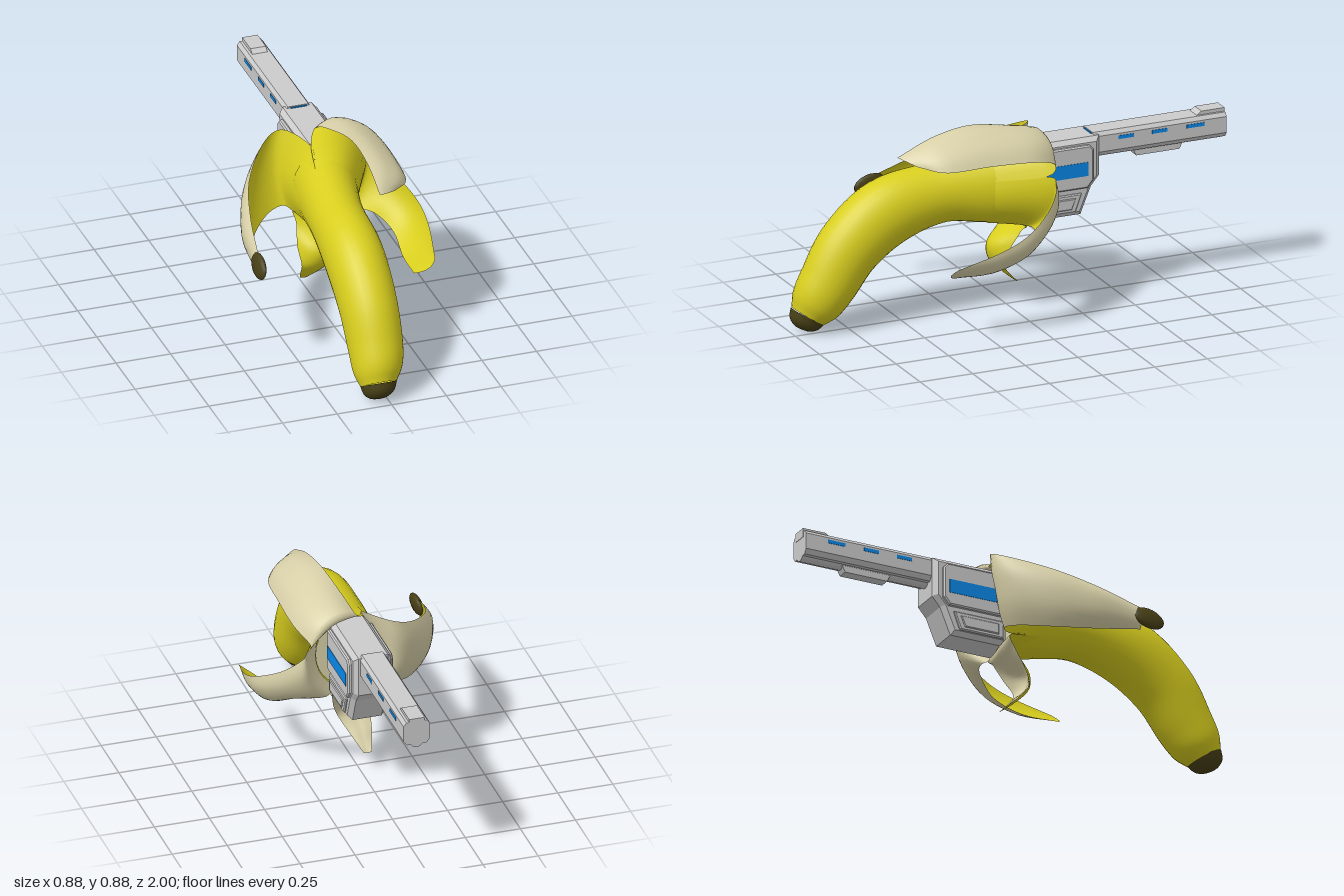
import * as THREE from 'three';

const V = (p) => new THREE.Vector3(...p);
const mat = (color, side = THREE.FrontSide) => new THREE.MeshStandardMaterial({ color, side });
const grey = mat(0xcccccc);
const blue = mat(0x0a88e8);
const yellow = mat(0xd8ce1e);
const skin = mat(0xd8ce1e, THREE.DoubleSide);
const cream = mat(0xd8d0a8);
const dark = mat(0x484016);

function add(parent, name, geometry, material) {
  const mesh = new THREE.Mesh(geometry, material);
  mesh.name = name;
  parent.add(mesh);
  return mesh;
}

// Triangulated grid of rows; point(u, v) gives each vertex
function surface(nu, nv, point, flip = false) {
  const pos = [], index = [];
  for (let j = 0; j <= nv; j++) {
    for (let i = 0; i <= nu; i++) pos.push(...point(i / nu, j / nv).toArray());
  }
  for (let j = 0; j < nv; j++) {
    for (let i = 0; i < nu; i++) {
      const a = j * (nu + 1) + i, b = a + 1, c = a + nu + 1, d = c + 1;
      if (flip) index.push(a, c, b, b, c, d);
      else index.push(a, b, c, b, d, c);
    }
  }
  const g = new THREE.BufferGeometry();
  g.setAttribute('position', new THREE.Float32BufferAttribute(pos, 3));
  g.setIndex(index);
  g.computeVertexNormals();
  return g;
}

// Elliptical sections [x, y, z, rx, ry] swept along a curve in the y-z plane
function sweep(sections, nv) {
  const path = new THREE.CatmullRomCurve3(sections.map((s) => V(s.slice(0, 3))));
  const radii = new THREE.CatmullRomCurve3(sections.map((s) => V([s[3], s[4], 0])));
  path.curveType = radii.curveType = 'catmullrom';
  const g = surface(28, nv, (u, v) => {
    const t = path.getTangent(v), r = radii.getPoint(v), a = u * Math.PI * 2;
    const up = new THREE.Vector3(0, t.z, -t.y).normalize();
    return path.getPoint(v).add(V([Math.cos(a) * r.x, 0, 0])).addScaledVector(up, Math.sin(a) * r.y);
  });
  // Equal normals along the closing seam
  const n = g.attributes.normal;
  for (let j = 0; j <= nv; j++) {
    const a = j * 29, b = a + 28;
    const m = new THREE.Vector3().fromBufferAttribute(n, a)
      .add(new THREE.Vector3().fromBufferAttribute(n, b)).normalize();
    n.setXYZ(a, m.x, m.y, m.z);
    n.setXYZ(b, m.x, m.y, m.z);
  }
  return g;
}

// Point on the body skin below a point of the open rim
function rootOf([x, y]) {
  const a = Math.atan2((y - 0.582) / 0.182, (x - 0.065) / 0.17);
  return [0.018 + 0.134 * Math.cos(a), 0.57 + 0.163 * Math.sin(a), 0.12];
}

// Peel strip: each row is [edge, middle, edge]; yellow outside, cream inside
function peel(parent, name, rows) {
  const group = new THREE.Group();
  group.name = name;
  parent.add(group);
  const all = [rows[0].map(rootOf), ...rows];
  const cols = [0, 1, 2].map((k) => new THREE.CatmullRomCurve3(all.map((r) => V(r[k]))));
  for (const c of cols) c.curveType = 'catmullrom';
  const nu = 10, nv = 30;
  const point = (u, v) => {
    const [l, m, r] = cols.map((c) => c.getPoint(v));
    const ctrl = m.clone().multiplyScalar(2).addScaledVector(l, -0.5).addScaledVector(r, -0.5);
    return new THREE.QuadraticBezierCurve3(l, ctrl, r).getPoint(u);
  };
  const outer = surface(nu, nv, point);
  const n = outer.attributes.normal;
  const inner = surface(nu, nv, (u, v) => {
    const k = Math.round(v * nv) * (nu + 1) + Math.round(u * nu);
    const t = 0.014 * Math.min(1, 5 * u * (1 - u)) * Math.min(1, 6 * (1 - v));
    return point(u, v).addScaledVector(new THREE.Vector3().fromBufferAttribute(n, k), -t);
  }, true);
  add(group, name + 'Skin', outer, yellow);
  add(group, name + 'Lining', inner, cream);
}

// Side profile of [z, y] points extruded from x0 to x1
function plate(parent, name, pts, x0, x1, bevel, material) {
  const shape = new THREE.Shape(pts.map(([z, y]) => new THREE.Vector2(-z, y)));
  const g = new THREE.ExtrudeGeometry(shape, {
    depth: x1 - x0 - 2 * bevel, bevelEnabled: bevel > 0, bevelSize: bevel,
    bevelThickness: bevel, bevelOffset: -bevel, bevelSegments: 1,
  });
  g.rotateY(Math.PI / 2).translate(x0 + bevel, 0, 0);
  return add(parent, name, g, material);
}

function buildFruit() {
  const fruit = new THREE.Group();
  fruit.name = 'banana';
  add(fruit, 'bananaBody', sweep([
    [0.042, 0.577, 0, 0.148, 0.17], [0.02, 0.57, 0.11, 0.136, 0.165],
    [-0.01, 0.56, 0.32, 0.122, 0.137], [-0.018, 0.505, 0.555, 0.13, 0.155],
    [-0.018, 0.375, 0.73, 0.127, 0.147], [-0.018, 0.22, 0.835, 0.12, 0.132],
    [-0.025, 0.13, 0.89, 0.108, 0.115], [-0.034, 0.075, 0.925, 0.08, 0.082],
  ], 42), skin);
  add(fruit, 'bananaTip', sweep([
    [-0.034, 0.077, 0.924, 0.081, 0.083], [-0.038, 0.042, 0.943, 0.066, 0.069],
    [-0.042, 0.022, 0.954, 0.036, 0.038], [-0.043, 0.018, 0.956, 0.001, 0.001],
  ], 10), dark);
  // Flesh closing the open end
  const flesh = new THREE.CircleGeometry(1, 28).rotateY(Math.PI).scale(0.145, 0.168, 1);
  add(fruit, 'flesh', flesh.translate(0.04, 0.577, 0.01), cream);

  // Corners of the open end, each shared by two neighbouring peels
  const topRight = [-0.02, 0.765, 0], topLeft = [0.25, 0.655, -0.08];
  const lowLeft = [0.13, 0.4, -0.03], lowRight = [-0.09, 0.44, -0.04];

  // Four peels folding back from the open end
  peel(fruit, 'sidePeelRight', [
    [lowRight, [-0.105, 0.6, -0.05], topRight],
    [[-0.12, 0.445, -0.09], [-0.14, 0.61, -0.13], [-0.1, 0.785, -0.15]],
    [[-0.2, 0.43, -0.06], [-0.24, 0.59, -0.09], [-0.2, 0.745, -0.12]],
    [[-0.3, 0.408, 0.06], [-0.335, 0.55, 0.04], [-0.32, 0.67, 0.05]],
    [[-0.365, 0.408, 0.23], [-0.4, 0.51, 0.22], [-0.38, 0.6, 0.24]],
    [[-0.412, 0.425, 0.42], [-0.428, 0.48, 0.42], [-0.41, 0.53, 0.42]],
  ]);
  const stem = add(fruit, 'peelStem', new THREE.SphereGeometry(1, 14, 10), dark);
  stem.scale.set(0.021, 0.05, 0.075);
  stem.position.set(-0.418, 0.482, 0.457);
  stem.rotation.set(0.2, 0, -0.2);
  peel(fruit, 'topPeel', [
    [topRight, [0.14, 0.765, -0.04], topLeft],
    [[0.03, 0.8, -0.09], [0.15, 0.8, -0.11], [0.25, 0.705, -0.12]],
    [[0.06, 0.847, 0.03], [0.185, 0.83, 0], [0.29, 0.745, 0]],
    [[0.09, 0.885, 0.22], [0.2, 0.84, 0.22], [0.292, 0.757, 0.2]],
    [[0.1, 0.858, 0.4], [0.195, 0.815, 0.41], [0.275, 0.752, 0.4]],
    [[0.1, 0.79, 0.56], [0.14, 0.782, 0.54], [0.19, 0.765, 0.5]],
  ]);
  peel(fruit, 'sidePeelLeft', [
    [topLeft, [0.235, 0.52, -0.06], lowLeft],
    [[0.285, 0.63, -0.11], [0.265, 0.5, -0.1], [0.19, 0.395, -0.05]],
    [[0.36, 0.555, -0.05], [0.335, 0.45, -0.04], [0.27, 0.385, 0]],
    [[0.43, 0.475, 0.08], [0.4, 0.39, 0.08], [0.325, 0.33, 0.09]],
    [[0.44, 0.415, 0.22], [0.395, 0.34, 0.23], [0.32, 0.28, 0.23]],
    [[0.405, 0.35, 0.41], [0.37, 0.315, 0.43], [0.315, 0.28, 0.39]],
  ]);
  peel(fruit, 'bottomPeel', [
    [lowLeft, [0.04, 0.395, -0.04], lowRight],
    [[0.12, 0.375, -0.02], [0.02, 0.365, 0.0], [-0.08, 0.385, -0.02]],
    [[0.1, 0.3, 0.02], [0, 0.3, 0.08], [-0.09, 0.3, 0.02]],
    [[0.07, 0.23, 0.05], [-0.01, 0.22, 0.075], [-0.08, 0.22, 0.05]],
    [[0.03, 0.16, 0.005], [-0.02, 0.15, 0.012], [-0.07, 0.155, 0.005]],
    [[-0.01, 0.095, -0.06], [-0.03, 0.09, -0.06], [-0.05, 0.095, -0.06]],
  ]);
  return fruit;
}

function buildGun() {
  const gun = new THREE.Group();
  gun.name = 'blaster';
  // Receiver with raised side plates
  plate(gun, 'receiver', [[-0.03, 0.758], [-0.388, 0.758], [-0.388, 0.575], [-0.35, 0.53],
    [-0.3, 0.408], [-0.03, 0.408]], -0.035, 0.137, 0.02, grey);
  for (const s of [-1, 1]) {
    const side = (name, pts, near, far, bevel, m) => {
      const [a, b] = [0.05 + s * near, 0.05 + s * far];
      plate(gun, name, pts, Math.min(a, b), Math.max(a, b), bevel, m);
    };
    side('sidePlate', [[-0.055, 0.73], [-0.33, 0.73], [-0.348, 0.71], [-0.348, 0.57],
      [-0.32, 0.535], [-0.055, 0.535]], 0.07, 0.103, 0.006, grey);
    side('lowerPlate', [[-0.055, 0.512], [-0.295, 0.512], [-0.265, 0.43], [-0.055, 0.43]],
      0.07, 0.097, 0.005, grey);
    side('lowerInset', [[-0.08, 0.495], [-0.265, 0.495], [-0.245, 0.445], [-0.08, 0.445]],
      0.08, 0.102, 0.004, grey);
    side('sideLight', [[-0.06, 0.655], [-0.322, 0.655], [-0.322, 0.592], [-0.06, 0.592]],
      0.08, 0.105, 0, blue);
    for (const z of [-0.52, -0.68, -0.85]) {
      const h = z === -0.85 ? 0.042 : 0.036;
      side('barrelLight', [[z + h, 0.738], [z - h, 0.738], [z - h, 0.722], [z + h, 0.722]],
        0.04, 0.062, 0, blue);
    }
  }
  plate(gun, 'topLight', [[-0.362, 0.762], [-0.391, 0.762], [-0.391, 0.74], [-0.362, 0.74]],
    0.015, 0.088, 0, blue);

  // Chamfered barrel with a slim rod along its underside
  const c = [[-0.01, 0.675], [-0.01, 0.748], [0.003, 0.765], [0.097, 0.765], [0.11, 0.748],
    [0.11, 0.675], [0.095, 0.654], [0.005, 0.654]];
  const barrel = new THREE.ExtrudeGeometry(
    new THREE.Shape(c.map((p) => new THREE.Vector2(...p))), { depth: 0.63, bevelEnabled: false });
  add(gun, 'barrel', barrel.translate(0, 0, -0.998), grey);
  const rod = new THREE.CylinderGeometry(0.03, 0.03, 0.63, 16).rotateX(Math.PI / 2);
  add(gun, 'underRod', rod.translate(0.05, 0.668, -0.683), grey);
  plate(gun, 'frontSight', [[-0.86, 0.76], [-0.89, 0.781], [-1, 0.781], [-1, 0.74], [-0.86, 0.74]],
    0.015, 0.085, 0, grey);
  plate(gun, 'underRail', [[-0.57, 0.65], [-0.585, 0.62], [-0.79, 0.62], [-0.805, 0.65]],
    0.025, 0.075, 0, grey);
  return gun;
}

export function createModel() {
  const model = new THREE.Group();
  model.name = 'bananaBlaster';
  model.add(buildFruit(), buildGun());
  return model;
}
